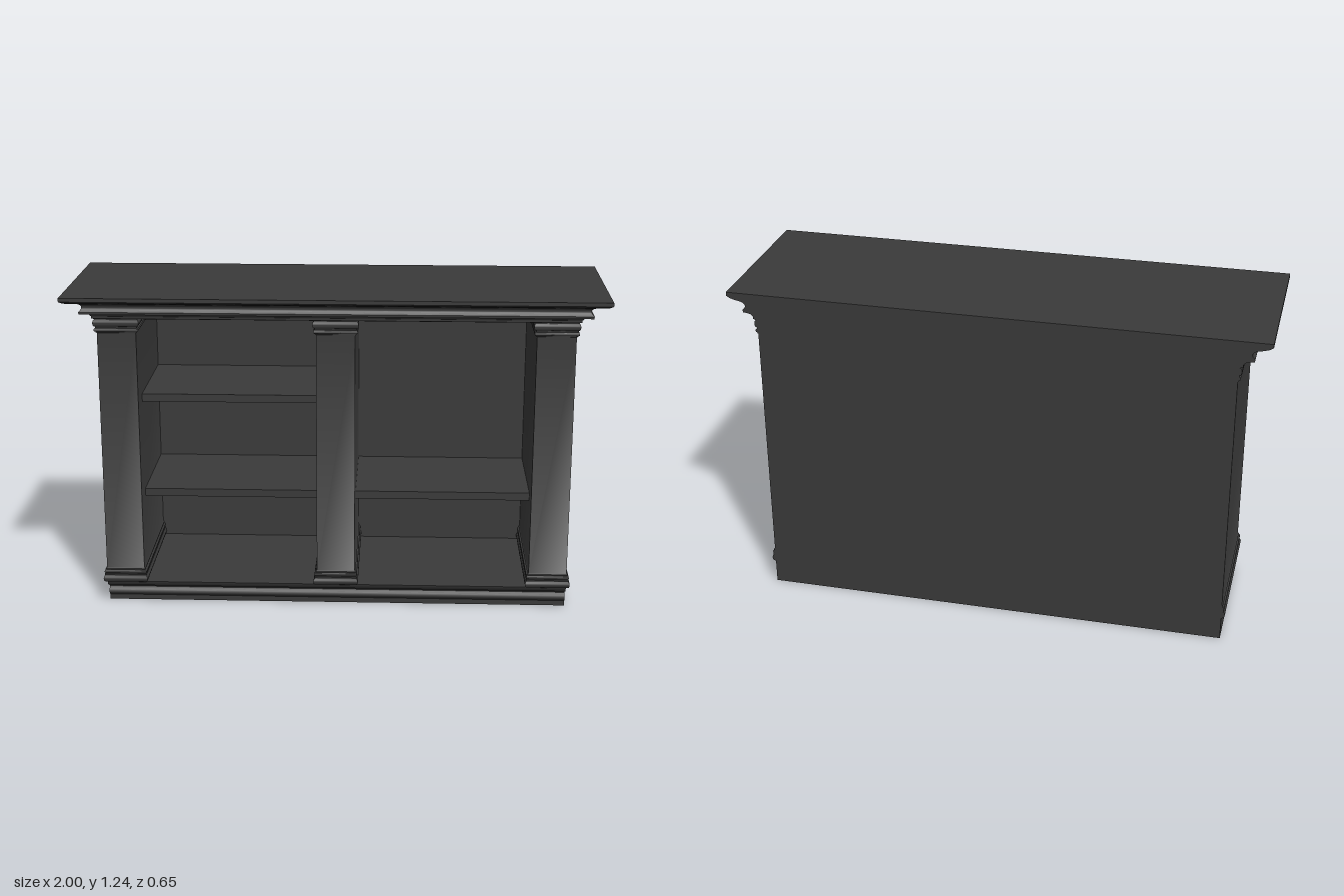
import * as THREE from 'three';
import { toCreasedNormals } from 'three/addons/utils/BufferGeometryUtils.js';

const BACK = -0.325, FRONT = 0.21, HALF = 0.885;
const POST_W = 0.145, FLOOR = 0.09, CEILING = 1.138;

const material = new THREE.MeshStandardMaterial({ color: 0x3a3a3a });

function add(group, name, geometry, x = 0, y = 0, z = 0) {
  const mesh = new THREE.Mesh(geometry, material);
  mesh.name = name;
  mesh.position.set(x, y, z);
  group.add(mesh);
}

// Round a run of [offset, y] points into a smooth curve
function curve(points, n = 16) {
  return new THREE.SplineCurve(points.map(p => new THREE.Vector2(...p))).getPoints(n).map(p => [p.x, p.y]);
}

// Half-round bead from height y0 to y1, bulging out from offset o by r
function bead(o, r, y0, y1, n = 8) {
  return Array.from({ length: n + 1 }, (_, i) => {
    const a = Math.PI * i / n;
    return [o + r * Math.sin(a), y0 + (y1 - y0) * (1 - Math.cos(a)) / 2];
  });
}

// Stack rectangles whose front and sides step out by the profile; the back stays flat
function moulded(x0, x1, front, profile) {
  const pos = [], index = [], top = (profile.length - 1) * 4;
  for (const [o, y] of profile) {
    pos.push(x0 - o, y, BACK, x0 - o, y, front + o, x1 + o, y, front + o, x1 + o, y, BACK);
  }
  for (let k = 0; k < top; k += 4) {
    for (let i = 0; i < 4; i++) {
      const a = k + i, b = k + (i + 1) % 4;
      index.push(a, b, b + 4, a, b + 4, a + 4);
    }
  }
  index.push(0, 2, 1, 0, 3, 2, top, top + 1, top + 2, top, top + 2, top + 3);
  const geometry = new THREE.BufferGeometry();
  geometry.setAttribute('position', new THREE.Float32BufferAttribute(pos, 3));
  geometry.setIndex(index);
  return toCreasedNormals(geometry, 0.7);
}

export function createModel() {
  const model = new THREE.Group();
  model.name = 'bookcase';

  // Plinth: front moulding swept straight across the width
  const plinth = new THREE.Shape();
  plinth.moveTo(BACK, 0);
  plinth.lineTo(0.17, 0);
  plinth.lineTo(0.17, 0.02);
  curve([[0.172, 0.022], [0.18, 0.032], [0.177, 0.045], [0.171, 0.055], [0.18, 0.064], [0.197, 0.07], [0.205, 0.077]])
    .forEach(p => plinth.lineTo(...p));
  plinth.lineTo(0.208, FLOOR);
  plinth.lineTo(BACK, FLOOR);
  const plinthGeo = new THREE.ExtrudeGeometry(plinth, { depth: 2 * HALF, bevelEnabled: false });
  plinthGeo.rotateY(-Math.PI / 2);
  plinthGeo.translate(HALF, 0, 0);
  add(model, 'plinth', toCreasedNormals(plinthGeo, 0.7));

  // Three full-depth posts with moulded foot and capital
  const postProfile = [
    [0, FLOOR],
    ...bead(0.004, 0.009, 0.091, 0.119),
    [0.008, 0.12], [0.008, 0.125],
    ...bead(0.003, 0.006, 0.126, 0.14),
    [0.004, 0.145], [0, 0.15],
    [0, 1.08], [0.004, 1.082],
    ...bead(0.004, 0.006, 1.085, 1.099),
    [0.004, 1.103],
    ...bead(0.005, 0.008, 1.105, 1.133),
    [0.004, CEILING],
  ];
  const postX = HALF - POST_W / 2;
  for (const [name, x] of [['rightPost', -postX], ['centrePost', 0], ['leftPost', postX]]) {
    add(model, name, moulded(x - POST_W / 2, x + POST_W / 2, FRONT, postProfile));
  }

  // Crown moulding and top board
  add(model, 'crown', moulded(-HALF, HALF, FRONT, [
    [0.008, 1.135], [0.016, 1.138], [0.016, 1.147],
    ...curve([[0.018, 1.148], [0.024, 1.155], [0.038, 1.159], [0.054, 1.161]], 8),
    [0.055, 1.17],
    ...curve([[0.053, 1.172], [0.045, 1.183], [0.047, 1.194], [0.06, 1.202], [0.082, 1.207], [0.102, 1.213], [0.113, 1.22]], 20),
    [0.115, 1.221], [0.115, 1.235],
  ]));

  // Thin back panel
  const backH = CEILING - FLOOR;
  add(model, 'backPanel', new THREE.BoxGeometry(2 * HALF - 0.02, backH, 0.008), 0, FLOOR + backH / 2, BACK + 0.004);

  // Shelves, set back from the front
  const inner = POST_W / 2, outer = HALF - POST_W, depth = 0.115 - BACK - 0.004;
  for (const [name, side, y] of [
    ['rightUpperShelf', -1, 0.805], ['rightLowerShelf', -1, 0.425], ['leftShelf', 1, 0.425],
  ]) {
    add(model, name, new THREE.BoxGeometry(outer - inner, 0.03, depth),
      side * (inner + outer) / 2, y, 0.115 - depth / 2);
  }

  return model;
}
